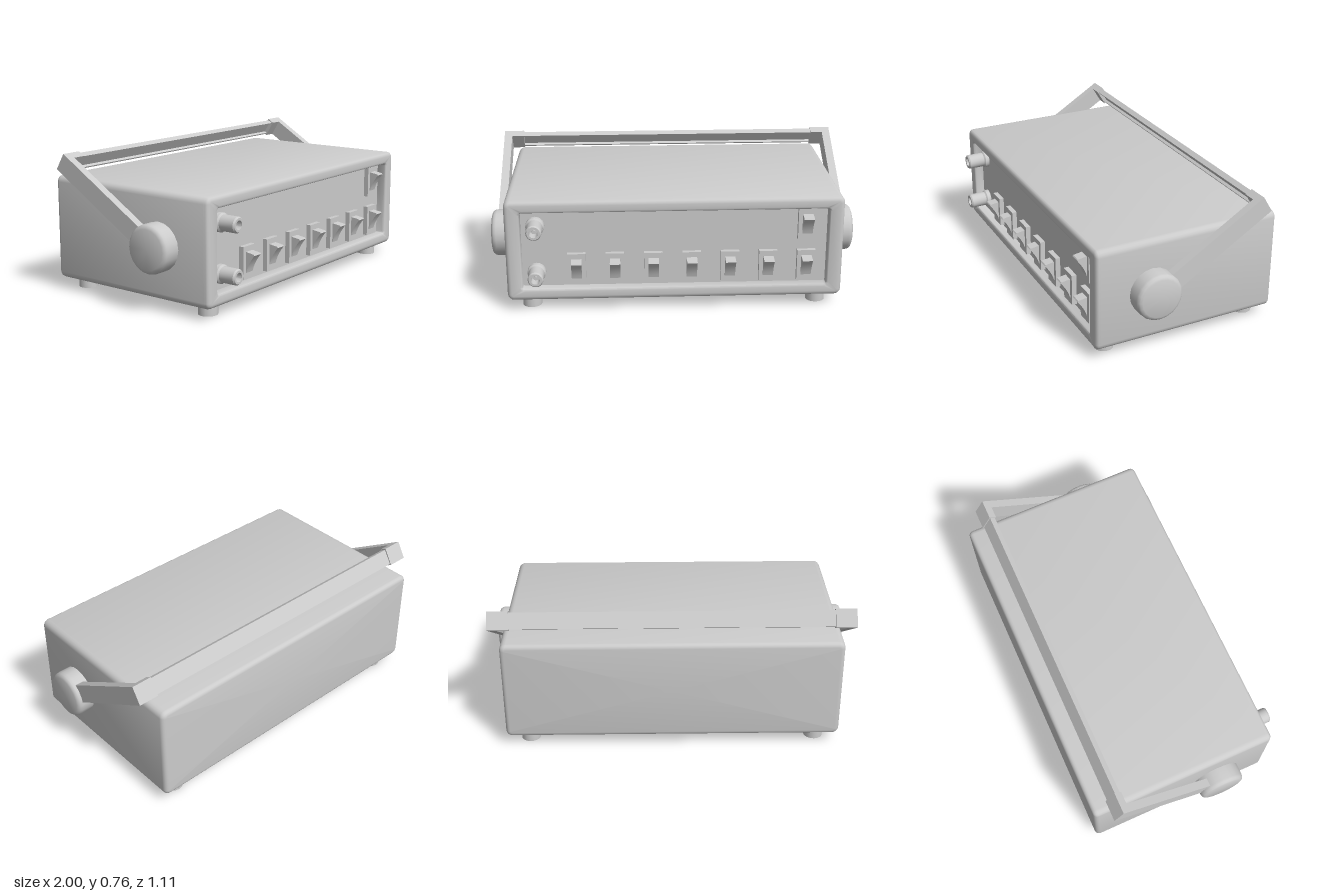
import * as THREE from 'three';
import { toCreasedNormals } from 'three/addons/utils/BufferGeometryUtils.js';

const material = new THREE.MeshStandardMaterial({ color: 0xcccccc });
const PANEL_Z = 0.43;
const BODY_Y = 0.3425;

function add(parent, name, geometry, x = 0, y = 0, z = 0) {
  const mesh = new THREE.Mesh(geometry, material);
  mesh.name = name;
  mesh.position.set(x, y, z);
  parent.add(mesh);
  return mesh;
}

// Rounded-rectangle cross-section, counter-clockwise seen from the front
function ring(hw, hh, r, z, steps = 4) {
  const points = [];
  const signs = [[1, 1], [-1, 1], [-1, -1], [1, -1]];
  signs.forEach(([sx, sy], corner) => {
    for (let i = 0; i <= steps; i++) {
      const a = (corner + i / steps) * Math.PI / 2;
      points.push([sx * (hw - r) + r * Math.cos(a), sy * (hh - r) + r * Math.sin(a), z]);
    }
  });
  return points;
}

// Skin a list of rings; the first and last rings are single points
function loft(rings) {
  const n = rings[0].length;
  const index = [];
  for (let i = 0; i < rings.length - 1; i++) {
    for (let j = 0; j < n; j++) {
      const k = (j + 1) % n;
      const a = i * n + j, b = i * n + k, c = b + n, d = a + n;
      if (i > 0) index.push(a, b, c);
      if (i < rings.length - 2 || i === 0) index.push(a, c, d);
    }
  }
  const geometry = new THREE.BufferGeometry();
  geometry.setAttribute('position', new THREE.Float32BufferAttribute(rings.flat(2), 3));
  geometry.setIndex(index);
  return toCreasedNormals(geometry, 0.6);
}

// Housing: rounded back and front edges, with a recessed front panel
function housingGeometry() {
  const W = 0.905, H = 0.2825, R = 0.025, back = -0.555, front = 0.485;
  const rings = [ring(0, 0, 0, back)];
  const steps = 4;
  for (let i = 0; i <= steps; i++) {
    const a = i / steps * Math.PI / 2;
    const inset = R * (1 - Math.sin(a));
    rings.push(ring(W - inset, H - inset, 0.035 - inset, back + R * (1 - Math.cos(a))));
  }
  for (let i = 0; i <= steps; i++) {
    const a = i / steps * Math.PI / 2;
    const inset = R * (1 - Math.cos(a));
    rings.push(ring(W - inset, H - inset, 0.035 - inset, front - R * (1 - Math.sin(a))));
  }
  // Inner lip rolls over into the recess
  const lip = 0.014;
  for (let i = 0; i <= steps; i++) {
    const a = i / steps * Math.PI / 2;
    const inset = lip * (1 - Math.sin(a));
    rings.push(ring(0.822 + inset, 0.216 + inset, 0.012 + inset, front - lip * (1 - Math.cos(a))));
  }
  rings.reverse();
  rings.reverse();
  rings.push(ring(0.822, 0.216, 0.012, PANEL_Z), ring(0, 0, 0, PANEL_Z));
  return loft(rings);
}

function lathe(profile, segments) {
  const points = profile.map(([r, y]) => new THREE.Vector2(r, y));
  return toCreasedNormals(new THREE.LatheGeometry(points, segments), 0.6);
}

// Rocker wedge: side profile swept across the width
function rockerGeometry() {
  const width = 0.056;
  const shape = new THREE.Shape();
  shape.moveTo(0, -0.054);
  shape.lineTo(0.028, -0.054);
  shape.quadraticCurveTo(0.04, -0.005, 0.08, 0.044);
  shape.lineTo(0.076, 0.05);
  shape.lineTo(0, 0.062);
  shape.closePath();
  const geometry = new THREE.ExtrudeGeometry(shape, { depth: width, bevelEnabled: false, curveSegments: 5 });
  geometry.rotateY(-Math.PI / 2).translate(width / 2, 0, 0);
  return toCreasedNormals(geometry, 0.5);
}

export function createModel() {
  const model = new THREE.Group();
  model.name = 'instrumentBox';
  add(model, 'housing', housingGeometry(), 0, BODY_Y, 0);

  // Feet
  const foot = new THREE.CylinderGeometry(0.052, 0.052, 0.07, 16);
  for (const x of [-0.78, 0.78]) {
    for (const z of [0.385, -0.457]) add(model, 'foot', foot, x, 0.035, z);
  }

  // Rocker switches: a row of seven and one above the last
  const bezel = new THREE.BoxGeometry(0.1, 0.174, 0.028);
  const rocker = rockerGeometry();
  const places = [[0.712, 0.465]];
  for (let i = 0; i < 7; i++) places.push([-0.53 + i * 0.207, 0.228]);
  for (const [x, y] of places) {
    const unit = new THREE.Group();
    unit.name = 'rockerSwitch';
    unit.position.set(x, y, PANEL_Z);
    add(unit, 'switchBezel', bezel, 0, 0, 0.013);
    add(unit, 'switchRocker', rocker);
    model.add(unit);
  }

  // Round sockets with a hollow front and centre pin
  const socket = lathe([
    [0.05, 0], [0.05, 0.022], [0.042, 0.03], [0.042, 0.116], [0.036, 0.124],
    [0.024, 0.124], [0.022, 0.07], [0.01, 0.07], [0.01, 0.1], [0, 0.1],
  ], 20).rotateX(Math.PI / 2);
  for (const y of [0.473, 0.209]) add(model, 'socket', socket, -0.745, y, PANEL_Z);

  // Pivot discs on both sides
  const disc = lathe([
    [0, 0], [0.128, 0], [0.128, 0.073], [0.125, 0.086], [0.117, 0.095], [0.105, 0.1], [0, 0.1],
  ], 20).rotateZ(-Math.PI / 2);
  for (const side of [1, -1]) {
    const mesh = add(model, 'handlePivot', disc, side * 0.9, 0.34, 0.172);
    if (side < 0) mesh.rotation.y = Math.PI;
  }

  // Tilted carrying handle: arms run along local y from the pivot
  const handle = new THREE.Group();
  handle.name = 'handle';
  handle.position.set(0, 0.34, 0.172);
  handle.rotation.x = -1.022;
  model.add(handle);
  for (const side of [1, -1]) {
    add(handle, 'handleArm', new THREE.BoxGeometry(0.045, 0.674, 0.1), side * 0.9505, 0.387, 0);
    add(handle, 'handleCorner', new THREE.BoxGeometry(0.07, 0.042, 0.1), side * 0.895, 0.703, 0);
  }
  // Crossbar: a shallow channel open towards the pivots
  add(handle, 'handleBar', new THREE.BoxGeometry(1.74, 0.014, 0.088), 0, 0.711, 0);
  for (const z of [0.04, -0.04]) {
    add(handle, 'handleBarFlange', new THREE.BoxGeometry(1.74, 0.018, 0.008), 0, 0.696, z);
  }
  return model;
}
